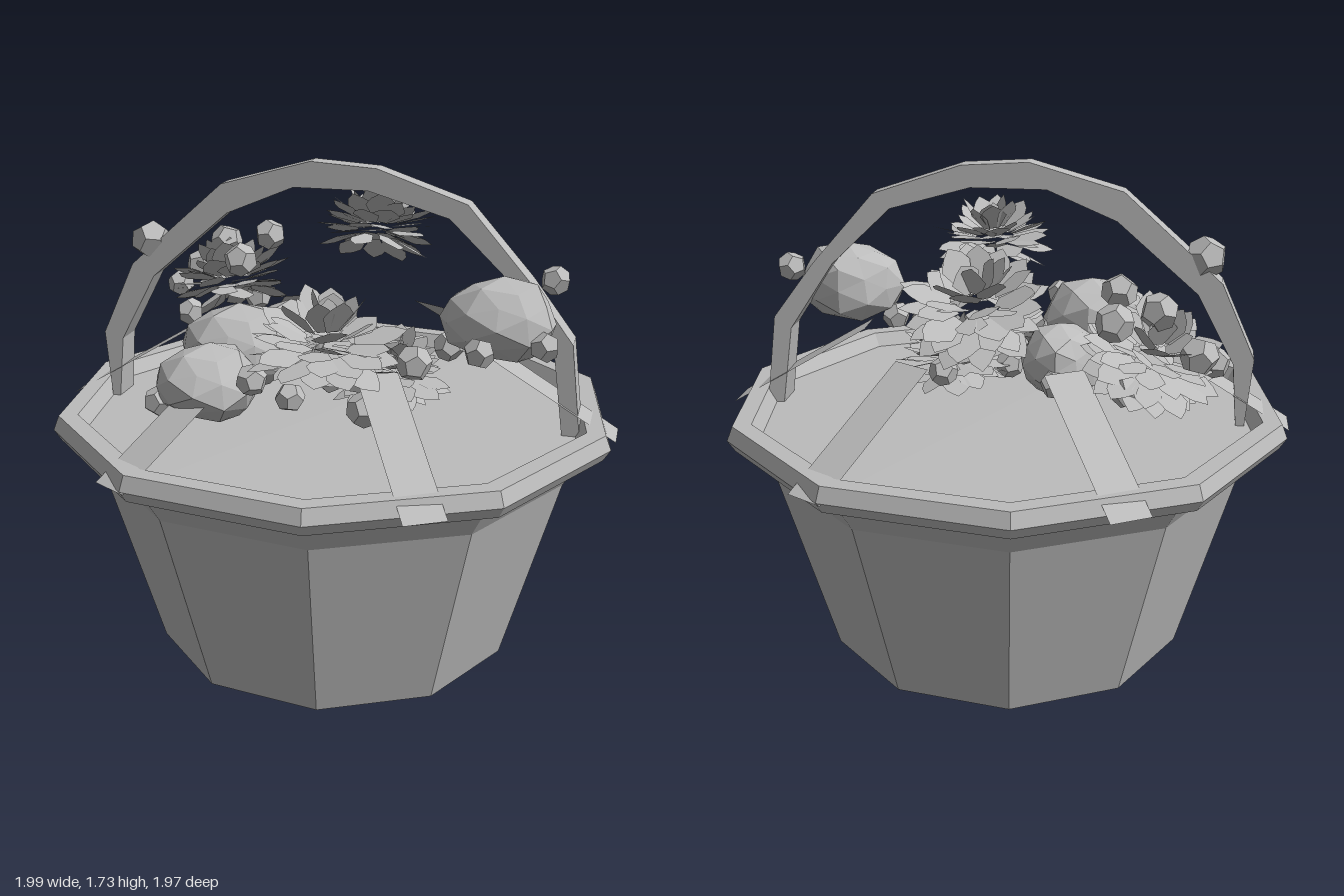
import * as THREE from 'three';
import { mergeGeometries } from 'three/addons/utils/BufferGeometryUtils.js';

const clay = new THREE.MeshStandardMaterial({ color: 0xbcbcbc, flatShading: true, side: THREE.DoubleSide });
clay.name = 'light grey';

let seed = 7;
const rand = () => (seed = (seed * 16807) % 2147483647) / 2147483647;
const jitter = (a) => (rand() - 0.5) * a;

function add(group, name, geometry, position = [0, 0, 0]) {
  const mesh = new THREE.Mesh(geometry, clay);
  mesh.name = name;
  mesh.position.set(...position);
  group.add(mesh);
  return mesh;
}

// Layered flower: rings of pointed petals spreading from the centre
function flowerGeometry(size) {
  const petals = [];
  const rings = [[-28, 11], [-8, 15], [14, 14], [36, 12], [60, 8], [82, 3]];
  rings.forEach(([elevation, count], ring) => {
    for (let i = 0; i < count; i++) {
      const r = size * (0.92 + jitter(0.26));
      const w = size * (0.2 + jitter(0.06));
      const shape = new THREE.Shape([
        [-w * 0.4, r * 0.35], [w * 0.4, r * 0.35], [w, r * 0.72], [w * 0.55, r * 0.88],
        [0, r], [-w * 0.7, r * 0.86], [-w, r * 0.7],
      ].map(([x, y]) => new THREE.Vector2(x, y)));
      const g = new THREE.ShapeGeometry(shape);
      g.rotateY(jitter(0.7));
      g.rotateX(Math.PI / 2 - THREE.MathUtils.degToRad(elevation + jitter(16)));
      g.rotateY(((i + ring * 0.5 + jitter(0.4)) / count) * Math.PI * 2);
      petals.push(g);
    }
  });
  return mergeGeometries(petals).scale(1, 0.72, 1);
}

// Faceted bloom: coarse ball with corners pushed in and out by a position rule
function bloomGeometry(rx, ry, rz) {
  const g = new THREE.IcosahedronGeometry(1, 1);
  const p = g.attributes.position;
  for (let i = 0; i < p.count; i++) {
    const x = p.getX(i), y = p.getY(i), z = p.getZ(i);
    const k = 0.97 + 0.09 * Math.sin(5 * x + 7 * y + 9 * z);
    p.setXYZ(i, x * k * rx, y * k * ry, z * k * rz);
  }
  g.computeVertexNormals();
  return g;
}

export function createModel() {
  const model = new THREE.Group();
  model.name = 'flowerBasket';

  // Ten-sided tub with flared neck, rim and sunken top
  const profile = [
    [0, 0], [0.645, 0], [0.84, 0.69], [0.91, 0.8], [0.97, 0.8], [0.995, 0.84],
    [0.975, 0.89], [0.91, 0.89], [0.88, 0.84], [0, 0.845],
  ].map(([r, y]) => new THREE.Vector2(r, y));
  add(model, 'tub', new THREE.LatheGeometry(profile, 10, Math.PI / 20));

  // Arched handle, narrower towards the top
  const outer = [[-0.84, 0.84], [-0.86, 1.08], [-0.74, 1.34], [-0.4, 1.64], [-0.08, 1.73],
    [0.15, 1.715], [0.46, 1.61], [0.68, 1.36], [0.83, 1.16], [0.87, 0.84]];
  const inner = [[0.81, 0.84], [0.77, 1.12], [0.61, 1.36], [0.4, 1.56], [0.12, 1.64],
    [-0.14, 1.64], [-0.38, 1.54], [-0.66, 1.3], [-0.79, 1.06], [-0.81, 0.84]];
  const arch = new THREE.Shape([...outer, ...inner].map(([x, y]) => new THREE.Vector2(x, y)));
  const handle = new THREE.ExtrudeGeometry(arch, { depth: 0.12, bevelEnabled: false });
  const hp = handle.attributes.position;
  for (let i = 0; i < hp.count; i++) {
    hp.setZ(i, (hp.getZ(i) - 0.06) * (1 - 0.45 * (hp.getY(i) - 0.84)));
  }
  handle.computeVertexNormals();
  add(model, 'handle', handle);

  // Six flat ribbons rising from the rim towards the middle
  for (let i = 0; i < 6; i++) {
    const ribbon = new THREE.PlaneGeometry(0.58, 0.14);
    ribbon.rotateX(-Math.PI / 2);
    ribbon.rotateZ(-Math.atan2(0.3, 0.5));
    ribbon.translate(0.745, 0.985, 0);
    add(model, 'ribbon', ribbon).rotation.y = (i * Math.PI) / 3;
  }

  // Layered flowers: position, size, tilt about x and z
  const flowers = [
    [[0.15, 1.29, 0.68], 0.25, 0, 0],
    [[0.01, 1.38, -0.57], 0.25, -0.35, 0],
    [[-0.52, 1.18, -0.38], 0.25, -0.3, 0.3],
    [[0.2, 1.01, 0.03], 0.23, 0.1, 0],
  ];
  for (const [position, size, tiltX, tiltZ] of flowers) {
    add(model, 'flower', flowerGeometry(size), position).rotation.set(tiltX, 0, tiltZ);
  }

  // Large faceted blooms: position and radii
  const blooms = [
    [[0.6, 1.25, 0.12], [0.2, 0.145, 0.15]],
    [[-0.28, 1.12, 0.22], [0.2, 0.15, 0.16]],
    [[-0.3, 1.07, 0.46], [0.18, 0.13, 0.17]],
    [[-0.2, 1.07, -0.12], [0.15, 0.13, 0.15]],
  ];
  for (const [position, radii] of blooms) add(model, 'bloom', bloomGeometry(...radii), position);

  // Small berries: x, y, z, radius
  const berries = [
    [-0.68, 1.42, 0, 0.07], [-0.54, 1.34, -0.4, 0.06], [-0.41, 1.34, -0.54, 0.06],
    [-0.67, 1.22, -0.46, 0.06], [-0.72, 1.17, -0.36, 0.05], [-0.4, 1.33, -0.15, 0.06],
    [-0.45, 1.1, -0.49, 0.05], [-0.63, 1.1, -0.22, 0.05], [-0.2, 1.03, -0.25, 0.05],
    [-0.45, 1.1, 0.12, 0.05], [-0.09, 1.1, 0.12, 0.05], [-0.08, 0.98, 0.3, 0.05],
    [-0.47, 1.0, 0.5, 0.05], [-0.13, 1.12, 0.55, 0.05], [-0.4, 0.97, 0.3, 0.05],
    [-0.09, 1.19, -0.05, 0.05], [0, 0.98, 0.08, 0.05], [0.15, 1.06, 0.26, 0.06],
    [0.19, 0.98, 0.35, 0.06], [0.32, 1.1, 0.19, 0.06], [0.42, 1.14, 0.1, 0.05],
    [0.55, 1.18, 0.28, 0.05], [0.75, 1.2, 0.22, 0.05], [0.75, 1.35, -0.06, 0.05],
    [0.2, 1.02, -0.15, 0.05],
  ];
  for (const [x, y, z, r] of berries) {
    const berry = add(model, 'berry', new THREE.DodecahedronGeometry(r * 1.05), [x, y, z]);
    berry.rotation.set(x * 5, y * 3, z * 7);
  }
  return model;
}
